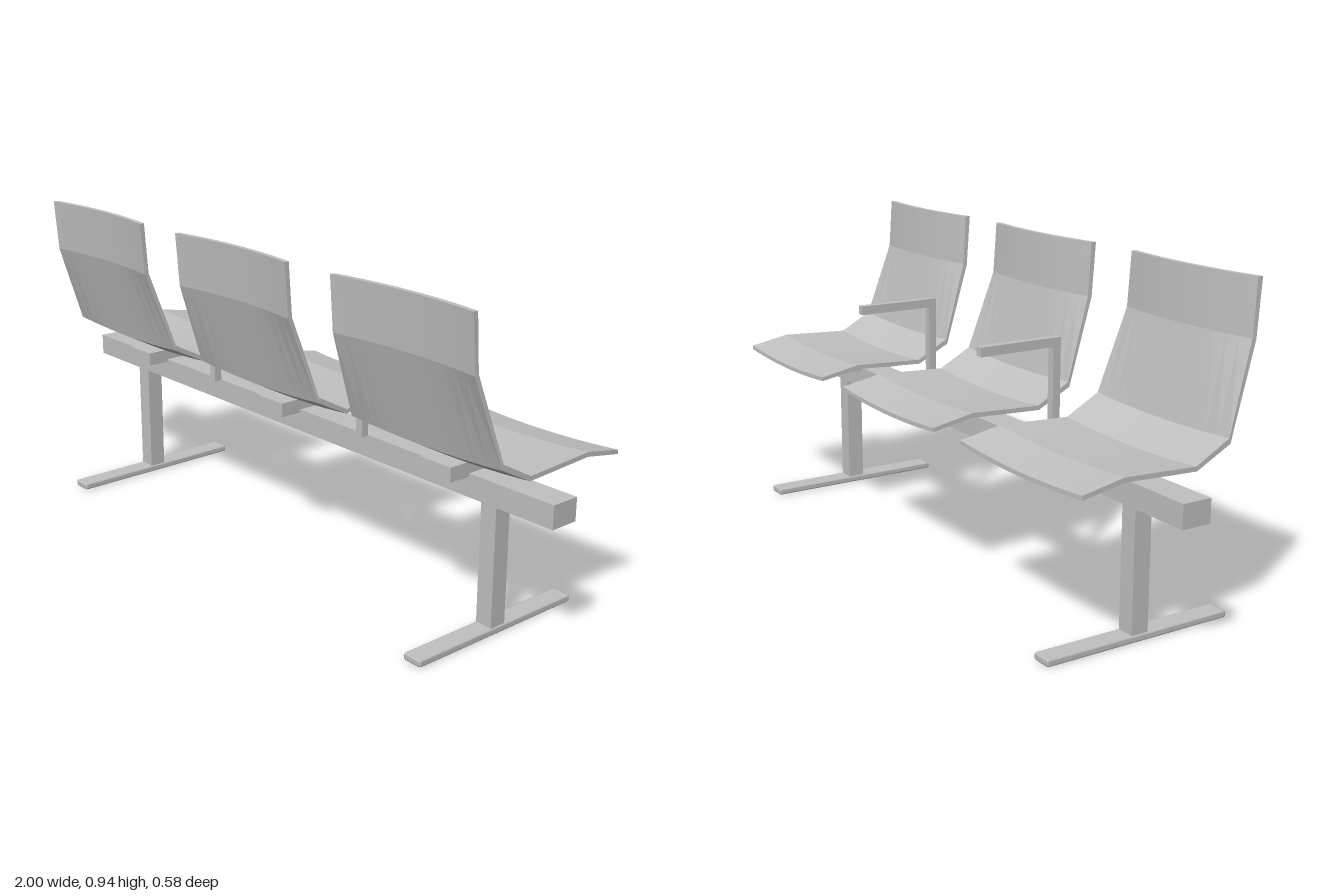
import * as THREE from 'three';
import { toCreasedNormals } from 'three/addons/utils/BufferGeometryUtils.js';
import { RoundedBoxGeometry } from 'three/addons/geometries/RoundedBoxGeometry.js';

const grey = new THREE.MeshStandardMaterial({ color: 0xc0c0c0 });
grey.name = 'grey';

function addMesh(parent, name, geometry, x = 0, y = 0, z = 0) {
  const mesh = new THREE.Mesh(geometry, grey);
  mesh.name = name;
  mesh.position.set(x, y, z);
  parent.add(mesh);
  return mesh;
}

// Box given by its x centre and width, and its y and z ranges
function addBox(parent, name, x, width, y0, y1, z0, z1) {
  const box = new THREE.BoxGeometry(width, y1 - y0, z1 - z0);
  return addMesh(parent, name, box, x, (y0 + y1) / 2, (z0 + z1) / 2);
}

// Shell stations from the seat's front lip to the top of the backrest:
// half width, sitting side [z, y], outer side [z, y], shift of the middle [z, y]
const stations = [
  [0.265, [-0.288, 0.48], [-0.288, 0.468], [0, -0.012]],
  [0.265, [-0.165, 0.503], [-0.165, 0.49], [0, -0.012]],
  [0.265, [0.053, 0.493], [0.055, 0.48], [0, -0.012]],
  [0.265, [0.155, 0.548], [0.159, 0.533], [0, -0.01]],
  [0.245, [0.233, 0.783], [0.246, 0.78], [-0.02, 0]],
  [0.244, [0.243, 0.935], [0.258, 0.935], [-0.02, 0]],
];

function shellGeometry() {
  const cols = 12;
  const ring = 2 * (cols + 1);
  const positions = [];
  const index = [];
  const quad = (a, b, c, d) => index.push(a, b, c, a, c, d);

  // Each ring runs across the sitting side and returns along the outer side
  for (const [half, inner, outer, shift] of stations) {
    for (let j = 0; j < ring; j++) {
      const sitting = j <= cols;
      const u = (sitting ? j : ring - 1 - j) / cols * 2 - 1;
      const [z, y] = sitting ? inner : outer;
      const bulge = 1 - u * u;
      positions.push(u * half, y + shift[1] * bulge, z + shift[0] * bulge);
    }
  }
  const last = (stations.length - 1) * ring;
  for (let i = 0; i < last; i += ring) {
    for (let j = 0; j < ring; j++) {
      const k = (j + 1) % ring;
      quad(i + j, i + ring + j, i + ring + k, i + k);
    }
  }
  // Rims at the front lip and the top of the backrest
  for (let j = 0; j < cols; j++) {
    const o = ring - 1 - j;
    quad(j, j + 1, o - 1, o);
    quad(last + j, last + o, last + o - 1, last + j + 1);
  }
  const geometry = new THREE.BufferGeometry();
  geometry.setAttribute('position', new THREE.Float32BufferAttribute(positions, 3));
  geometry.setIndex(index);
  return toCreasedNormals(geometry, THREE.MathUtils.degToRad(6));
}

export function createModel() {
  const model = new THREE.Group();
  model.name = 'beamSeating';

  addBox(model, 'beam', 0, 2, 0.37, 0.435, -0.043, 0.043);

  // Three seats on mounting blocks
  const shell = shellGeometry();
  for (const x of [-0.667, 0, 0.667]) {
    const seat = new THREE.Group();
    seat.name = 'seat';
    seat.position.x = x;
    addMesh(seat, 'seatShell', shell);
    addBox(seat, 'seatMount', 0, 0.108, 0.426, 0.467, -0.11, 0.111);
    model.add(seat);
  }

  for (const side of [-1, 1]) {
    // Armrest between neighbouring seats
    const armrest = new THREE.Group();
    armrest.name = 'armrest';
    addBox(armrest, 'armrestPost', side * 0.333, 0.024, 0.435, 0.677, 0.045, 0.069);
    addBox(armrest, 'armrestBar', side * 0.333, 0.024, 0.677, 0.703, -0.188, 0.069);
    model.add(armrest);

    // Leg with a long foot
    const leg = new THREE.Group();
    leg.name = 'leg';
    addBox(leg, 'legPost', side * 0.777, 0.052, 0.02, 0.37, -0.026, 0.026);
    const foot = new RoundedBoxGeometry(0.06, 0.021, 0.578, 1, 0.006);
    addMesh(leg, 'foot', foot, side * 0.777, 0.0105, 0);
    model.add(leg);
  }
  return model;
}
